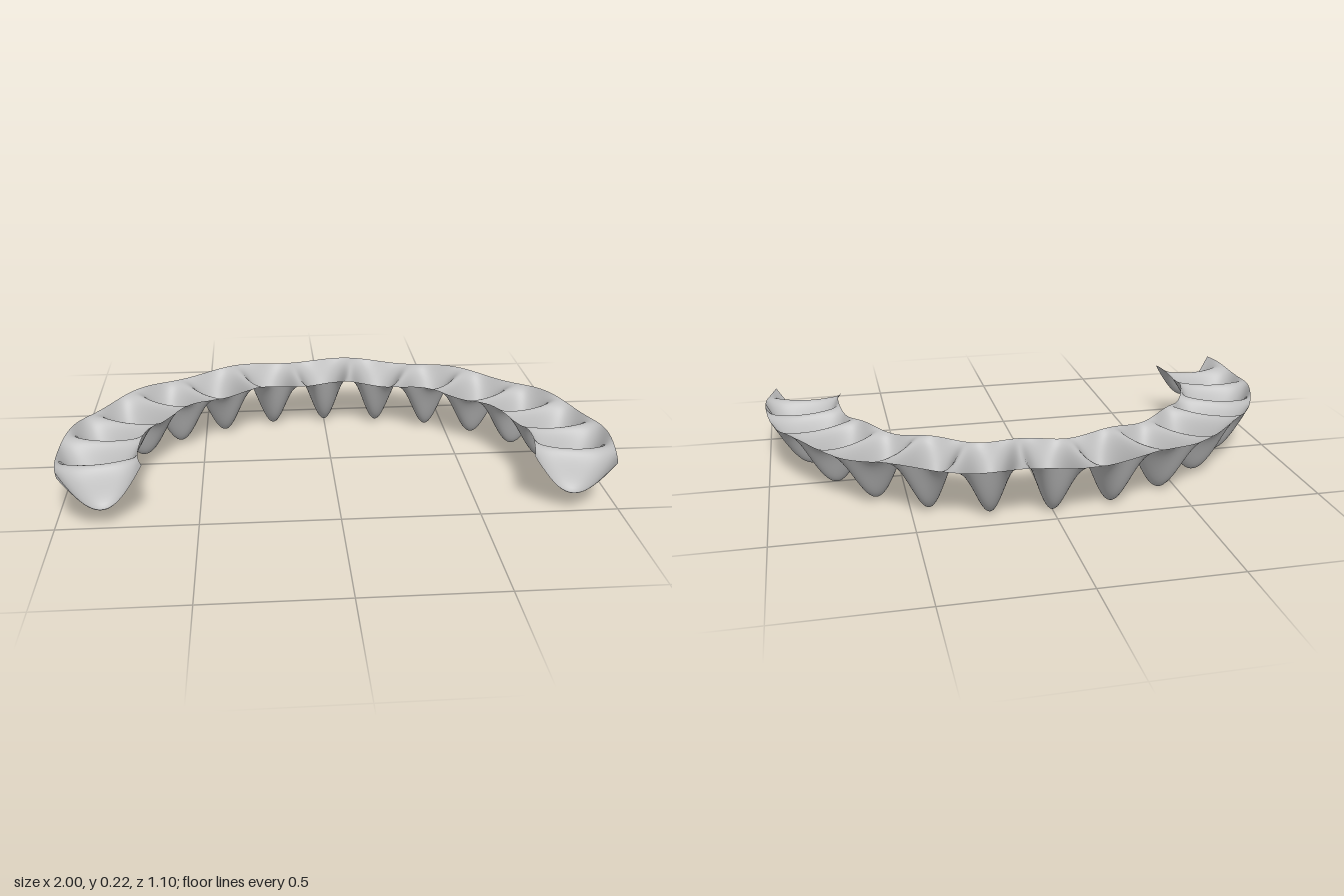
import * as THREE from 'three';

const RAD = Math.PI / 180;
const START = -16, END = 196;   // sweep of the arch in degrees
const CENTRE_Z = 0.31;          // centre of the ellipses
const OUTER = [1, 0.86], INNER = [0.715, 0.575];

// gently waving rim
const rimHeight = deg => 0.214 + 0.008 * Math.cos(13 * (deg - 84) * RAD);
// pendant tips hang lowest in the middle of the arch
const tipHeight = deg => 0.07 * ((deg - 90) / 105) ** 2;

// v runs from the outer rim (0) to the inner rim (1)
function surfacePoint(deg, v) {
  const rx = THREE.MathUtils.lerp(OUTER[0], INNER[0], v);
  const rz = THREE.MathUtils.lerp(OUTER[1], INNER[1], v);
  const rim = rimHeight(deg);
  // one pendant every 15 degrees, U-shaped across the band
  const pendant = 0.5 + 0.5 * Math.cos(24 * deg * RAD);
  const sag = THREE.MathUtils.lerp(0.014, rim - tipHeight(deg), pendant);
  return [
    rx * Math.cos(deg * RAD),
    rim - sag * Math.sin(Math.PI * v),
    CENTRE_Z - rz * Math.sin(deg * RAD),
  ];
}

export function createModel() {
  const group = new THREE.Group();
  group.name = 'scallopedArch';

  const grey = new THREE.MeshStandardMaterial({ color: 0xc0c0c0, side: THREE.DoubleSide });
  grey.name = 'light grey';

  // thin sheet bent along the arch
  const geometry = new THREE.PlaneGeometry(1, 1, 424, 32);
  const { position, uv } = geometry.attributes;
  for (let i = 0; i < position.count; i++) {
    const deg = THREE.MathUtils.lerp(START, END, uv.getX(i));
    position.setXYZ(i, ...surfacePoint(deg, uv.getY(i)));
  }
  geometry.computeVertexNormals();

  const sheet = new THREE.Mesh(geometry, grey);
  sheet.name = 'scallopedSheet';
  group.add(sheet);
  return group;
}
